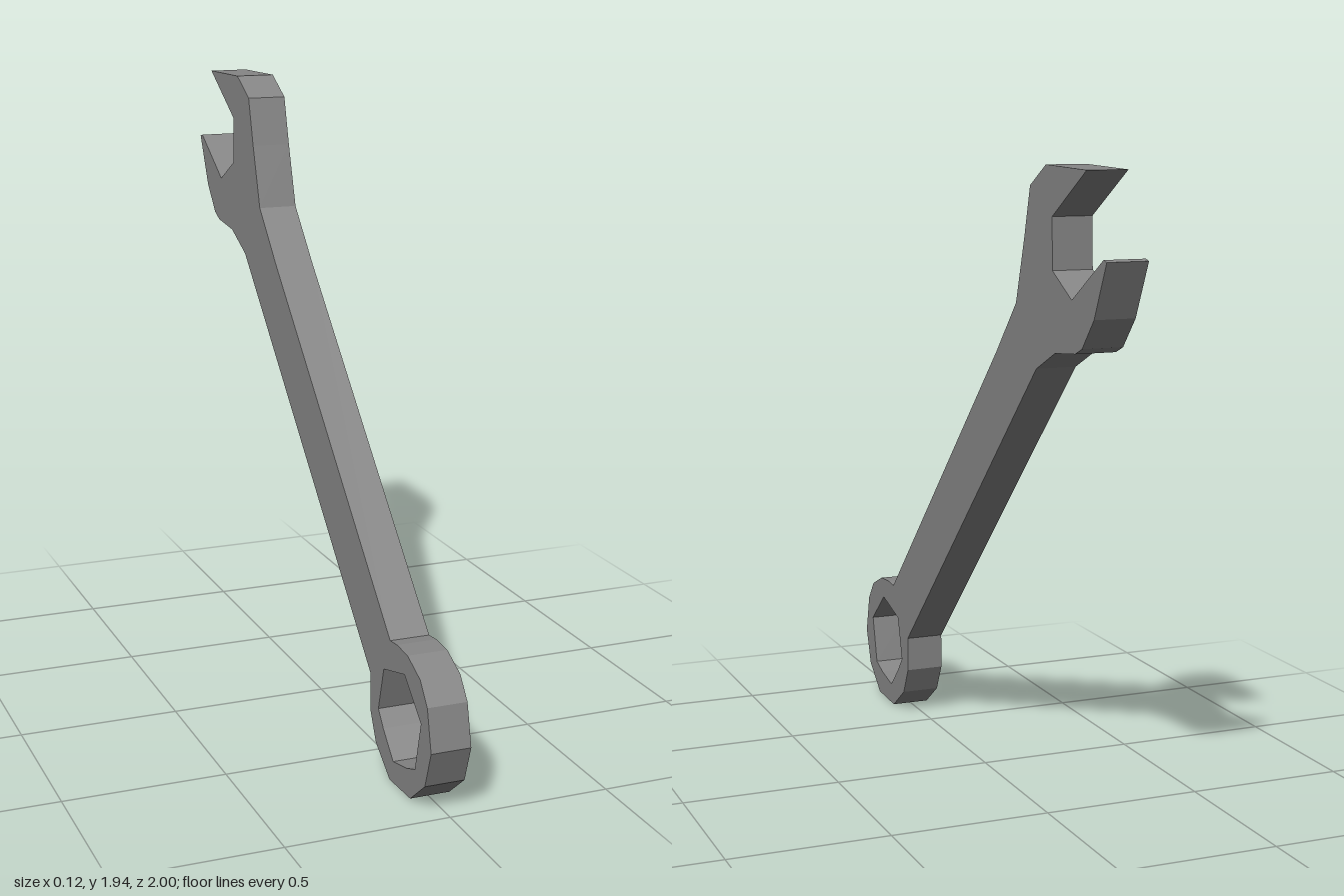
import * as THREE from 'three';

const THICKNESS = 0.124;
const toPoints = (list) => list.map(([u, y]) => new THREE.Vector2(u, y));

// Side profile, drawn as (towards the back, up)
const openJaw = [
  [0.54, 1.36], [0.67, 1.42], [0.805, 1.434], [0.85, 1.453], [0.925, 1.54],
  [1, 1.7], [0.98, 1.705], [0.78, 1.58], [0.65, 1.65], [0.645, 1.8],
  [0.87, 1.936], [0.6, 1.942], [0.49, 1.88], [0.45, 1.73], [0.39, 1.535], [0.24, 1.374],
];
const ringEnd = [
  [-0.705, 0.435], [-0.755, 0.44], [-0.83, 0.435], [-0.92, 0.395], [-0.97, 0.33],
  [-1, 0.203], [-0.96, 0.087], [-0.86, 0.006], [-0.71, 0], [-0.605, 0.075],
  [-0.56, 0.166], [-0.56, 0.28],
];
const ringHole = [
  [-0.81, 0.37], [-0.66, 0.33], [-0.622, 0.19], [-0.66, 0.142], [-0.735, 0.068],
  [-0.83, 0.088], [-0.89, 0.11], [-0.928, 0.265],
];

export function createModel() {
  const group = new THREE.Group();
  group.name = 'wrench';

  // Straight handle edges join the jaw to the ring
  const shape = new THREE.Shape(toPoints([...openJaw, ...ringEnd]));
  shape.holes.push(new THREE.Path(toPoints(ringHole)));

  // One flat plate, centred on its thickness and turned into the side plane
  const geometry = new THREE.ExtrudeGeometry(shape, { depth: THICKNESS, bevelEnabled: false });
  geometry.translate(0, 0, -THICKNESS / 2);
  geometry.rotateY(Math.PI / 2);

  // Mid-grey steel
  const material = new THREE.MeshStandardMaterial({ color: 0x868686, flatShading: true });
  const body = new THREE.Mesh(geometry, material);
  body.name = 'wrenchBody';
  group.add(body);
  return group;
}
